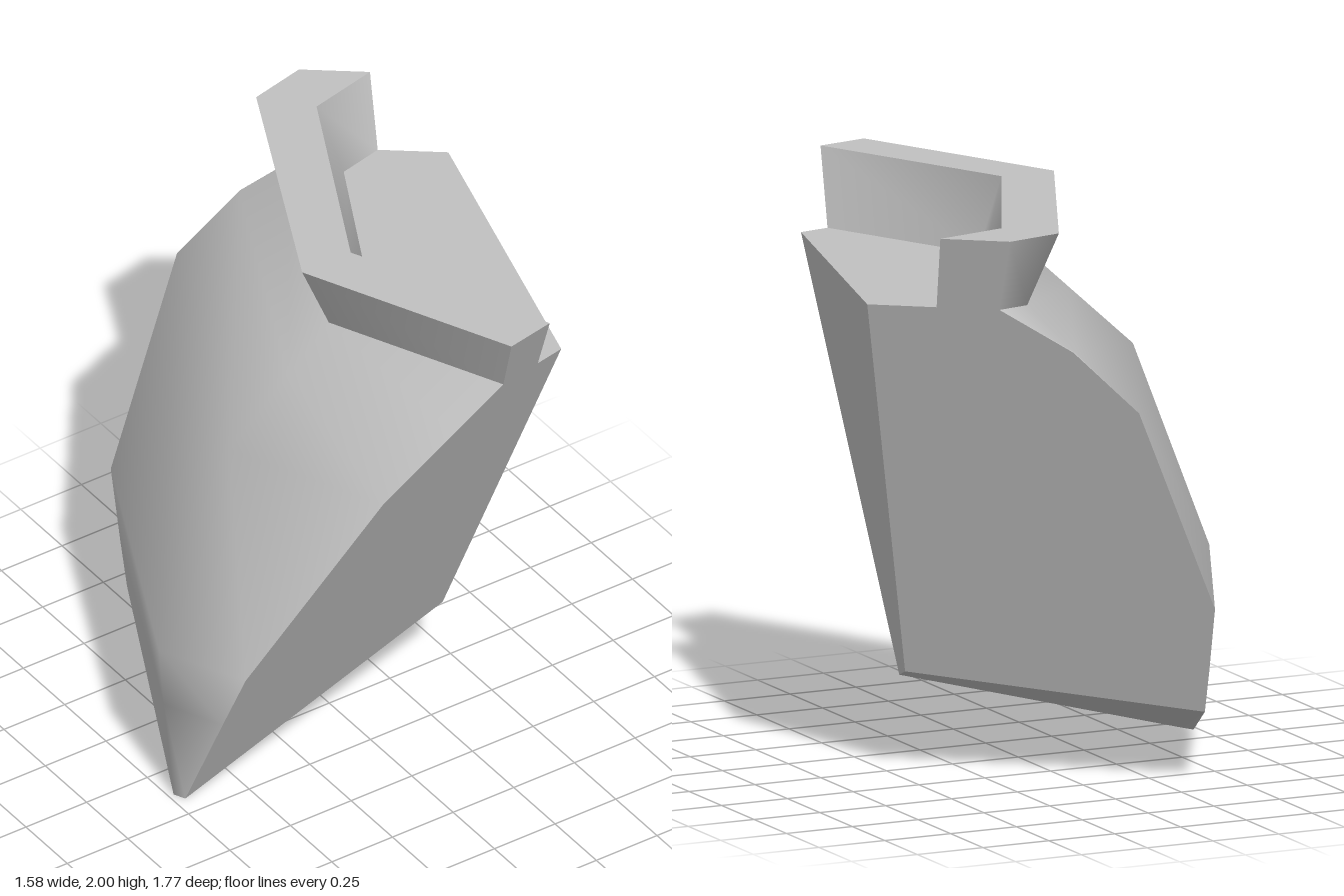
import * as THREE from 'three';
import { mergeVertices } from 'three/addons/utils/BufferGeometryUtils.js';

const V = (x, y, z) => new THREE.Vector3(x, y, z);

// Planes that cut the two ends of the bent shell
const frontZ = (x, y) => 0.03 - 0.2 * x + 0.44 * y;
const backZ = (x, y) => -0.254 + 0.77 * x - 0.456 * y;

// One horizontal line of the shell: front end, ridge, rear bend, rear end
function shellLine(y, ridgeX) {
  const s = 0.47, ridgeZ = 0.13;
  const fx = (ridgeX + s * (frontZ(0, y) - ridgeZ)) / (1 + 0.2 * s);
  const front = V(fx, y, frontZ(fx, y));
  const ridge = V(ridgeX, y, ridgeZ);
  let bend = V(0.37 + 0.7 * ridgeX, y, -0.62 + 0.8 * ridgeX);
  let end;
  const t = bend.z - backZ(bend.x, y);
  if (t > 0) {
    end = V(bend.x + t, y, bend.z - 0.23 * t);
  } else {
    const x = (ridgeX + s * (ridgeZ - backZ(0, y))) / (1 + 0.77 * s);
    end = V(x, y, backZ(x, y));
    bend = end.clone();
  }
  return [front, ridge, bend, end];
}

function geometryFrom(points, index) {
  const g = new THREE.BufferGeometry();
  g.setAttribute('position', new THREE.Float32BufferAttribute(points.flatMap(p => p.toArray()), 3));
  g.setIndex(index);
  return g;
}

// Smooth skin over a stack of lines
function skin(rows) {
  const n = rows[0].length, index = [];
  for (let i = 0; i < rows.length - 1; i++) {
    for (let j = 0; j < n - 1; j++) {
      const a = i * n + j, b = a + 1, c = b + n, d = a + n;
      index.push(a, c, b, a, d, c);
    }
  }
  const g = mergeVertices(geometryFrom(rows.flat(), index));
  g.computeVertexNormals();
  return g;
}

// Flat polygon facing the given direction
function face(points, out) {
  const m = out.toArray().map(Math.abs);
  const drop = m.indexOf(Math.max(...m));
  const flat = points.map(p => new THREE.Vector2(...p.toArray().filter((_, k) => k !== drop)));
  const index = [];
  for (const [a, b, c] of THREE.ShapeUtils.triangulateShape(flat, [])) {
    const n = points[b].clone().sub(points[a]).cross(points[c].clone().sub(points[a]));
    index.push(...(n.dot(out) > 0 ? [a, b, c] : [a, c, b]));
  }
  const g = geometryFrom(points, index).toNonIndexed();
  g.computeVertexNormals();
  return g;
}

export function createModel() {
  const group = new THREE.Group();
  group.name = 'facetedBlock';
  const grey = new THREE.MeshStandardMaterial({ color: 0xc0c0c0 });
  grey.name = 'grey';
  const add = (name, geometry) => {
    const mesh = new THREE.Mesh(geometry, grey);
    mesh.name = name;
    group.add(mesh);
  };

  // Bulging side, from the slanted foot up to the shoulder
  const foot = shellLine(0, -0.73);
  foot[2] = shellLine(0.25, -0.755)[3];
  foot[3] = foot[2].clone();
  const profile = [[0.4, -0.77], [0.64, -0.79], [1.37, -0.5], [1.59, -0.256], [1.74, -0.09]];
  const side = [foot, ...profile.map(([y, x]) => shellLine(y, x))];
  const shoulder = side[side.length - 1];
  add('bulgingSide', skin(side));

  // Leaning rim wall
  const outerTop = shellLine(2, -0.2);
  const innerTop = shellLine(2, 0);
  const innerBase = shellLine(1.74, 0.09);
  add('rimOuterWall', skin([shoulder, outerTop]));
  add('rimInnerWall', skin([innerTop, innerBase]));
  add('rimTop', face([...outerTop, ...[...innerTop].reverse()], V(0, 1, 0)));

  // Flat cuts
  const ledgeFront = V(0.48, 1.74, frontZ(0.48, 1.74));
  const ledgeBack = V(0.79, 1.74, backZ(0.79, 1.74));
  const lowFront = V(0.41, 0.31, frontZ(0.41, 0.31));
  const lowBack = V(0.46, 0.355, backZ(0.46, 0.355));
  const rim = i => [outerTop[i], innerTop[i], innerBase[i]];

  add('ledge', face([...innerBase, ledgeBack, ledgeFront], V(0, 1, 0)));
  add('frontCut', face([...side.map(r => r[0]), ...rim(0), ledgeFront, lowFront], V(0, 0, 1)));
  add('backCut', face([...side.map(r => r[3]), ...rim(3), ledgeBack, lowBack], V(0, 0, -1)));
  add('flatSide', face([lowFront, lowBack, ledgeBack, ledgeFront], V(1, 0, 0)));
  add('underside', face([foot[0], foot[1], foot[3], lowBack, lowFront], V(0, -1, 0)));
  return group;
}
